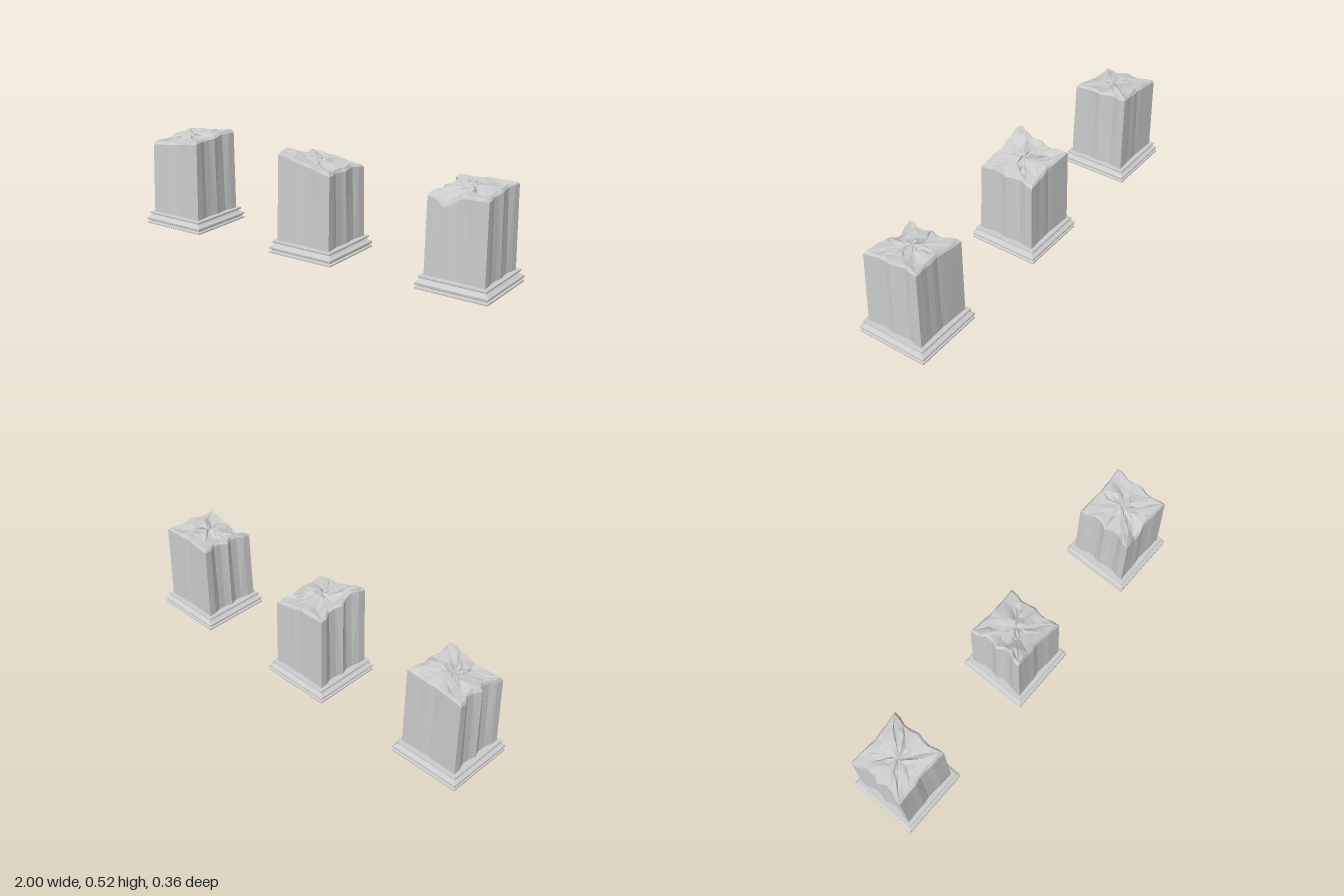
import * as THREE from 'three';

const PER_SIDE = 8, N = PER_SIDE * 4, HALF = 0.152, BASE_TOP = 0.063;

// Depth of the worn flutes along each face (front, +x, back, -x)
const flutes = [
  [0, 0.003, 0.005, 0.004, 0.011, 0.009, 0.003, 0.002],
  [0, 0.003, 0.012, 0.010, 0.002, 0.009, 0.014, 0.003],
  [0, 0.002, 0.006, 0.005, 0.010, 0.006, 0.004, 0.002],
  [0, 0.002, 0.020, 0.018, 0.003, 0.021, 0.018, 0.003],
];

// Corner heights (front -x, front +x, back +x, back -x) and local bumps [x, z, height, radius]
const pillars = [
  { x: -0.818, seed: 11, corners: [0.43, 0.472, 0.485, 0.457], bumps: [[0.06, -0.06, 0.028, 0.05], [-0.08, 0, 0.012, 0.05]] },
  { x: 0, seed: 29, corners: [0.495, 0.434, 0.425, 0.463], bumps: [[-0.12, 0.085, 0.032, 0.045], [0, -0.02, 0.015, 0.05]] },
  { x: 0.818, seed: 47, corners: [0.435, 0.457, 0.474, 0.462], bumps: [[-0.065, 0.14, -0.05, 0.04], [0, -0.03, 0.012, 0.06]] },
];

function seeded(seed) {
  let s = seed * 7919;
  return () => {
    s = (s * 16807) % 2147483647;
    return (s / 2147483647) * 2 - 1;
  };
}

// Stepped square moulding: a four-sided lathe
function plinthGeometry() {
  const profile = [
    [0, 0], [0.179, 0], [0.182, 0.002], [0.182, 0.009], [0.179, 0.011], [0.172, 0.012],
    [0.172, 0.020], [0.180, 0.021], [0.182, 0.023], [0.182, 0.031], [0.179, 0.034],
    [0.170, 0.039], [0.163, 0.046], [0.161, 0.051], [0.168, 0.052], [0.170, 0.054],
    [0.170, 0.061], [0.168, 0.063], [0, 0.063],
  ].map(([r, y]) => new THREE.Vector2(r * Math.SQRT2, y));
  return new THREE.LatheGeometry(profile, 4, Math.PI / 4);
}

// Point i on the fluted square outline
function outline(i, wear) {
  const side = Math.floor(i / PER_SIDE) % 4, k = i % PER_SIDE;
  const along = (k / PER_SIDE) * 2 * HALF - HALF;
  const out = HALF - flutes[side][k] * wear;
  return [[along, out], [out, -along], [-along, -out], [-out, along]][side];
}

// Shaft wall and broken top, lofted from rings up the wall and then inward
function shaftGeometry({ corners, bumps, seed }) {
  const rand = seeded(seed);
  const height = (x, z) => {
    const u = x / (2 * HALF) + 0.5, v = z / (2 * HALF) + 0.5;
    const front = corners[0] * (1 - u) + corners[1] * u;
    const back = corners[3] * (1 - u) + corners[2] * u;
    let h = front * v + back * (1 - v);
    for (const [bx, bz, a, r] of bumps) h += a * Math.exp(-((x - bx) ** 2 + (z - bz) ** 2) / (r * r));
    return h;
  };
  const positions = [], index = [];

  // Foot of the wall, less worn than the top
  for (let i = 0; i < N; i++) {
    const [x, z] = outline(i, 0.75);
    positions.push(x, BASE_TOP - 0.002, z);
  }

  // Rim, bevel and craggy inner rings: [scale, lift, roughness, sideways jitter]
  const rings = [[1, -0.008, 0.004, 0], [0.93, 0.005, 0.007, 0.004], [0.66, 0.002, 0.012, 0.012],
    [0.38, 0, 0.015, 0.010], [0.16, 0, 0.014, 0.006]];
  const ridge = Array.from({ length: N / 2 }, rand);
  rings.forEach(([scale, lift, rough, jitter], r) => {
    for (let i = 0; i < N; i++) {
      const [ox, oz] = outline(i, 1.25);
      const x = ox * 0.98 * scale + rand() * jitter;
      const z = (oz > 0 ? oz * 0.935 : oz * 0.985) * scale + rand() * jitter;
      const crag = ridge[((i + r) >> 1) % ridge.length] * 0.75 + rand() * 0.35;
      positions.push(x, height(x, z) + lift + crag * rough, z);
    }
  });
  for (let r = 0; r < rings.length; r++) {
    for (let i = 0; i < N; i++) {
      const j = (i + 1) % N, a = r * N + i, b = r * N + j, c = b + N, d = a + N;
      if ((i + r) % 2) index.push(a, b, d, b, c, d);
      else index.push(a, b, c, a, c, d);
    }
  }

  // Centre of the break
  const last = rings.length * N;
  positions.push(0, height(0, 0) - 0.004, 0);
  for (let i = 0; i < N; i++) index.push(last + i, last + ((i + 1) % N), last + N);

  const geometry = new THREE.BufferGeometry();
  geometry.setAttribute('position', new THREE.Float32BufferAttribute(positions, 3));
  geometry.setIndex(index);
  geometry.computeVertexNormals();
  return geometry;
}

export function createModel() {
  const model = new THREE.Group();
  model.name = 'brokenPillars';
  const stone = new THREE.MeshStandardMaterial({ color: 0xcccccc, flatShading: true });
  const plinth = plinthGeometry();
  for (const spec of pillars) {
    const pillar = new THREE.Group();
    pillar.name = 'brokenPillar';
    pillar.position.x = spec.x;
    const base = new THREE.Mesh(plinth, stone);
    base.name = 'plinth';
    const shaft = new THREE.Mesh(shaftGeometry(spec), stone);
    shaft.name = 'brokenShaft';
    pillar.add(base, shaft);
    model.add(pillar);
  }
  return model;
}
